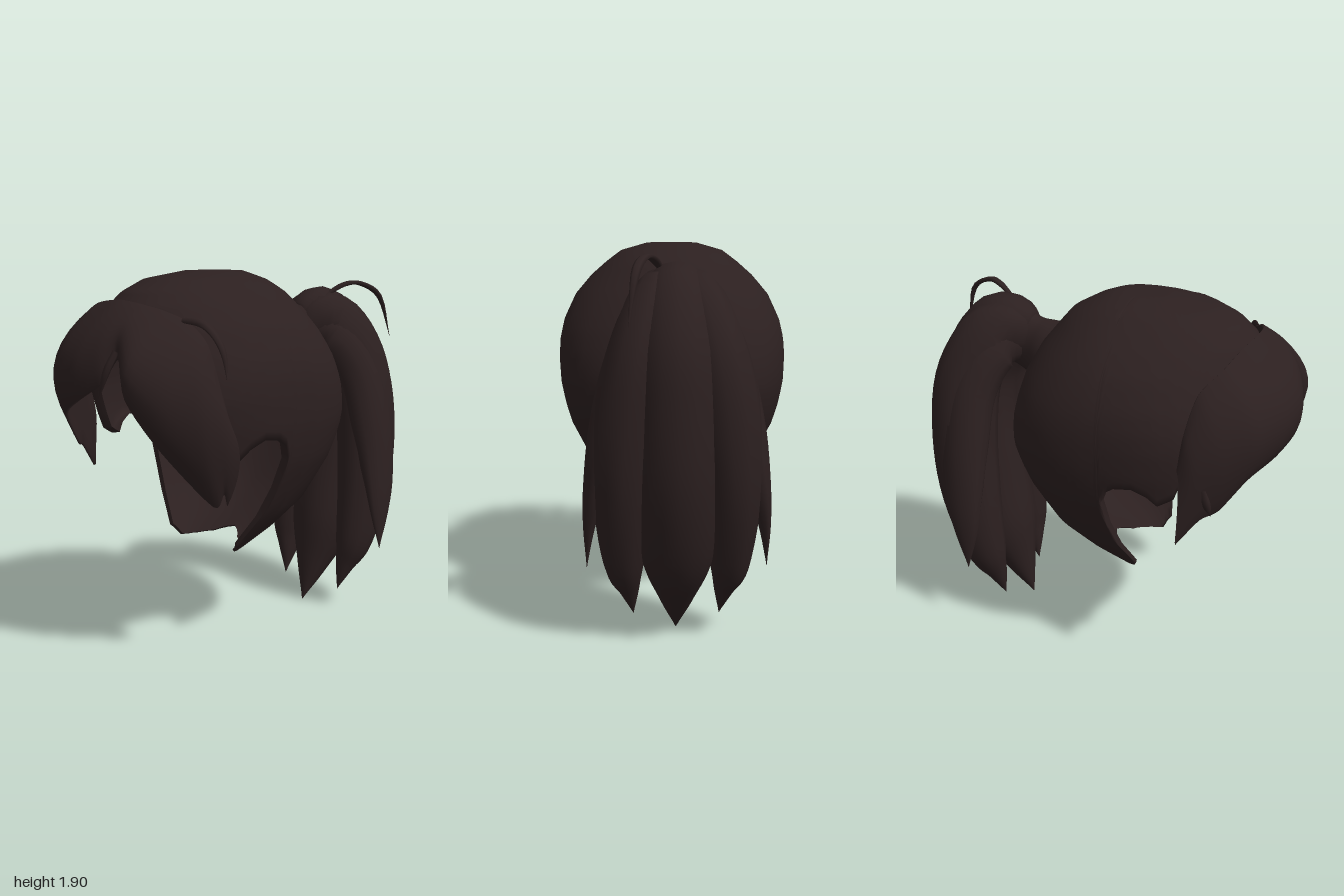
import * as THREE from 'three';

const V = (x, y, z) => new THREE.Vector3(x, y, z);
const hair = new THREE.MeshStandardMaterial({ color: 0x2c2020, side: THREE.DoubleSide });
hair.name = 'dark brown hair';

// Skin a list of equally long closed rings
function skin(name, rings) {
  const n = rings[0].length, pos = [], idx = [];
  rings.forEach(r => r.forEach(p => pos.push(p.x, p.y, p.z)));
  for (let i = 0; i < rings.length - 1; i++)
    for (let j = 0; j < n; j++) {
      const a = i * n + j, b = i * n + (j + 1) % n;
      idx.push(a, a + n, b, b, a + n, b + n);
    }
  const g = new THREE.BufferGeometry();
  g.setAttribute('position', new THREE.Float32BufferAttribute(pos, 3));
  g.setIndex(idx);
  g.computeVertexNormals();
  const m = new THREE.Mesh(g, hair);
  m.name = name;
  return m;
}

// Piecewise linear lookup at a fractional row index
function at(table, u) {
  const i = Math.min(Math.floor(u), table.length - 2), f = u - i;
  return table[i].map((v, k) => v + (table[i + 1][k] - v) * f);
}

// Tapered lock: points are [x, y, z, half width, half depth]
function lock(name, pts, steps = 28, sides = 12) {
  const path = new THREE.CatmullRomCurve3(pts.map(p => V(p[0], p[1], p[2])), false, 'catmullrom', 0.5);
  const size = new THREE.CatmullRomCurve3(pts.map(p => V(p[3], p[4], 0)), false, 'catmullrom', 0.5);
  const rings = [];
  for (let i = 0; i <= steps; i++) {
    const t = i / steps, c = path.getPoint(t), s = size.getPoint(t), T = path.getTangent(t);
    const N = T.clone().cross(V(1, 0, 0)).normalize(), X = N.clone().cross(T).normalize();
    const ring = [];
    for (let j = 0; j < sides; j++) {
      const a = j / sides * Math.PI * 2;
      ring.push(c.clone().addScaledVector(X, Math.cos(a) * Math.max(s.x, 0.001))
        .addScaledVector(N, Math.sin(a) * Math.max(s.y, 0.001)));
    }
    rings.push(ring);
  }
  return skin(name, rings);
}

// Scalp shell: [y, back z, front z, half width, middle z, roundness]
const levels = [
  [1.903, .16, .16, 0, .16, 1], [1.9, .02, .32, .13, .16, 1], [1.86, -.08, .56, .27, .16, 1],
  [1.8, -.19, .68, .35, .16, 1], [1.73, -.25, .75, .43, .16, 1], [1.63, -.33, .78, .515, .16, .95],
  [1.5, -.4, .8, .575, .16, .88], [1.4, -.43, .8, .597, .16, .83], [1.3, -.455, .8, .602, .16, .8],
  [1.17, -.47, .78, .595, .155, .8], [1.05, -.43, .76, .57, .15, .8], [.95, -.385, .74, .54, .152, .8],
  [.74, -.26, .7, .44, .19, .8], [.6, -.1, .6, .335, .235, .8], [.5, .08, .5, .25, .265, .8],
  [.47, .12, .45, .21, .265, .8],
];
// Lower hairline: [azimuth from the front, y]
const hairline = [
  [0, 1.55], [20, 1.55], [40, 1.5], [50, 1.3], [57, 1.07], [65, 1.03], [70, 1.08], [77, 1.12], [84, 1.11],
  [87, 1.08], [89, 1], [90, .53], [100, .48], [115, .48], [135, .485], [160, .5], [180, .535],
];
function scalp() {
  const half = [], sub = 3, steps = 28;
  for (let i = 0; i <= (hairline.length - 1) * sub; i++) half.push(at(hairline, i / sub));
  const columns = [...half, ...half.slice(1, -1).reverse().map(([a, y]) => [360 - a, y])];
  const rings = Array.from({ length: steps + 2 }, () => []);
  const pw = (v, e) => Math.sign(v) * Math.pow(Math.abs(v), e);
  for (const [deg, yb] of columns) {
    let k = 0;
    while (k < levels.length - 2 && levels[k + 1][0] > yb) k++;
    const end = k + (levels[k][0] - yb) / (levels[k][0] - levels[k + 1][0]);
    const a = deg * Math.PI / 180;
    for (let r = 0; r <= steps; r++) {
      const [y, zb, zf, w, zc, e] = at(levels, end * r / steps);
      const c = pw(Math.cos(a), e), s = pw(Math.sin(a), e);
      rings[r].push(V(s * w, y, zc + c * (c > 0 ? zf - zc : zc - zb)));
    }
    // Turned-in rim
    const p = rings[steps].at(-1);
    rings[steps + 1].push(p.clone().lerp(V(0, p.y + 0.1, 0.2), 0.08));
  }
  return skin('scalpHair', rings);
}

// Swept fringe: top edge, bulge and lower edge at each station
const fringeStations = [
  [[-.56, 1.25, .56], [-.57, 1.1, .58], [-.55, .86, .56]],
  [[-.54, 1.42, .58], [-.56, 1.25, .65], [-.5, .99, .66]],
  [[-.47, 1.6, .62], [-.51, 1.35, .75], [-.43, 1.02, .73]],
  [[-.36, 1.69, .695], [-.4, 1.45, .87], [-.36, 1.17, .84]],
  [[-.2, 1.745, .735], [-.22, 1.5, .95], [-.2, 1.24, .93]],
  [[0, 1.765, .76], [-.03, 1.54, .97], [-.02, 1.31, .98]],
  [[.12, 1.755, .75], [.1, 1.6, .93], [.13, 1.4, .95]],
  [[.2, 1.74, .73], [.19, 1.65, .87], [.19, 1.51, .9]],
  [[.28, 1.72, .7], [.32, 1.52, .92], [.28, 1.33, .93]],
  [[.38, 1.67, .64], [.46, 1.4, .84], [.39, 1.1, .82]],
  [[.48, 1.57, .61], [.55, 1.27, .72], [.475, .82, .58]],
  [[.55, 1.36, .59], [.58, 1.15, .6], [.51, .88, .545]],
  [[.57, 1.2, .55], [.57, 1.03, .5], [.505, .82, .52]],
];
function fringe() {
  const [U, M, L] = [0, 1, 2].map(k =>
    new THREE.CatmullRomCurve3(fringeStations.map(s => V(...s[k])), false, 'catmullrom', 0.4));
  const rings = [], core = V(0, 1.25, 0.3), steps = 60, n = 9;
  for (let i = 0; i <= steps; i++) {
    const t = i / steps, u = U.getPoint(t), m = M.getPoint(t), l = L.getPoint(t);
    const ctrl = m.clone().multiplyScalar(2).addScaledVector(u, -0.5).addScaledVector(l, -0.5);
    const outer = new THREE.QuadraticBezierCurve3(u, ctrl, l).getPoints(n);
    const inner = outer.map((p, j) => p.clone().lerp(core, 0.02 + 0.07 * Math.sin(Math.PI * j / n)));
    rings.push([...outer, ...inner.reverse()]);
  }
  return skin('fringe', rings);
}

export function createModel() {
  const model = new THREE.Group();
  model.name = 'ponytailHair';
  model.add(scalp(), fringe());

  // Gathered neck between scalp and ponytail
  model.add(lock('gatheredNeck', [
    [0, 1.51, -.31, .16, .19], [0, 1.535, -.38, .135, .165], [0, 1.56, -.45, .1, .15], [0, 1.6, -.54, .1, .15],
  ], 12, 16));

  // Ponytail locks, fanning out from the tie
  const tail = new THREE.Group();
  tail.name = 'ponytail';
  tail.add(lock('middleLock', [
    [0, 1.59, -.46, .09, .13], [0, 1.63, -.62, .17, .18], [0, 1.42, -.76, .19, .2], [0, 1.15, -.79, .2, .205],
    [0, .8, -.755, .2, .215], [0, .45, -.67, .18, .18], [0, .2, -.58, .09, .09], [0, 0, -.5, 0, 0],
  ], 40, 16));
  for (const s of [-1, 1]) {
    tail.add(lock('innerLock', [
      [s * .02, 1.59, -.47, .08, .12], [s * .09, 1.61, -.62, .13, .17], [s * .17, 1.4, -.74, .15, .18],
      [s * .225, 1.1, -.76, .16, .18], [s * .255, .75, -.73, .14, .17], [s * .255, .4, -.66, .1, .12],
      [s * .23, .24, -.61, .05, .06], [s * .21, .1, -.57, 0, 0],
    ], 36));
    tail.add(lock('outerLock', [
      [s * .03, 1.58, -.48, .06, .1], [s * .13, 1.55, -.6, .1, .13], [s * .23, 1.34, -.69, .11, .13],
      [s * .31, 1.05, -.71, .1, .13], [s * .38, .78, -.7, .06, .11], [s * .415, .58, -.68, .03, .07],
      [s * .43, .37, -.67, 0, 0],
    ], 32));
  }
  model.add(tail);

  // Loose flyaway strands
  model.add(lock('tailFlyaway', [
    [.07, 1.77, -.6, .015, .01], [.11, 1.82, -.69, .025, .012], [.15, 1.825, -.78, .025, .012],
    [.19, 1.75, -.9, .02, .012], [.22, 1.53, -.96, 0, 0],
  ], 16, 6));
  model.add(lock('sideFlyaway', [
    [.36, 1.68, .66, .008, .015], [.45, 1.665, .62, .012, .02], [.52, 1.61, .6, .012, .02],
    [.565, 1.53, .59, .01, .015], [.585, 1.42, .59, 0, 0],
  ], 16, 6));
  model.add(lock('partingWisp', [
    [.18, 1.54, .9, .02, .015], [.15, 1.44, .94, .02, .015], [.1, 1.31, .95, 0, 0],
  ], 8, 6));
  model.add(lock('templeWisp', [
    [-.52, 1.18, .67, .02, .02], [-.5, 1.08, .69, .025, .02], [-.46, 1.0, .7, 0, 0],
  ], 8, 6));
  return model;
}
